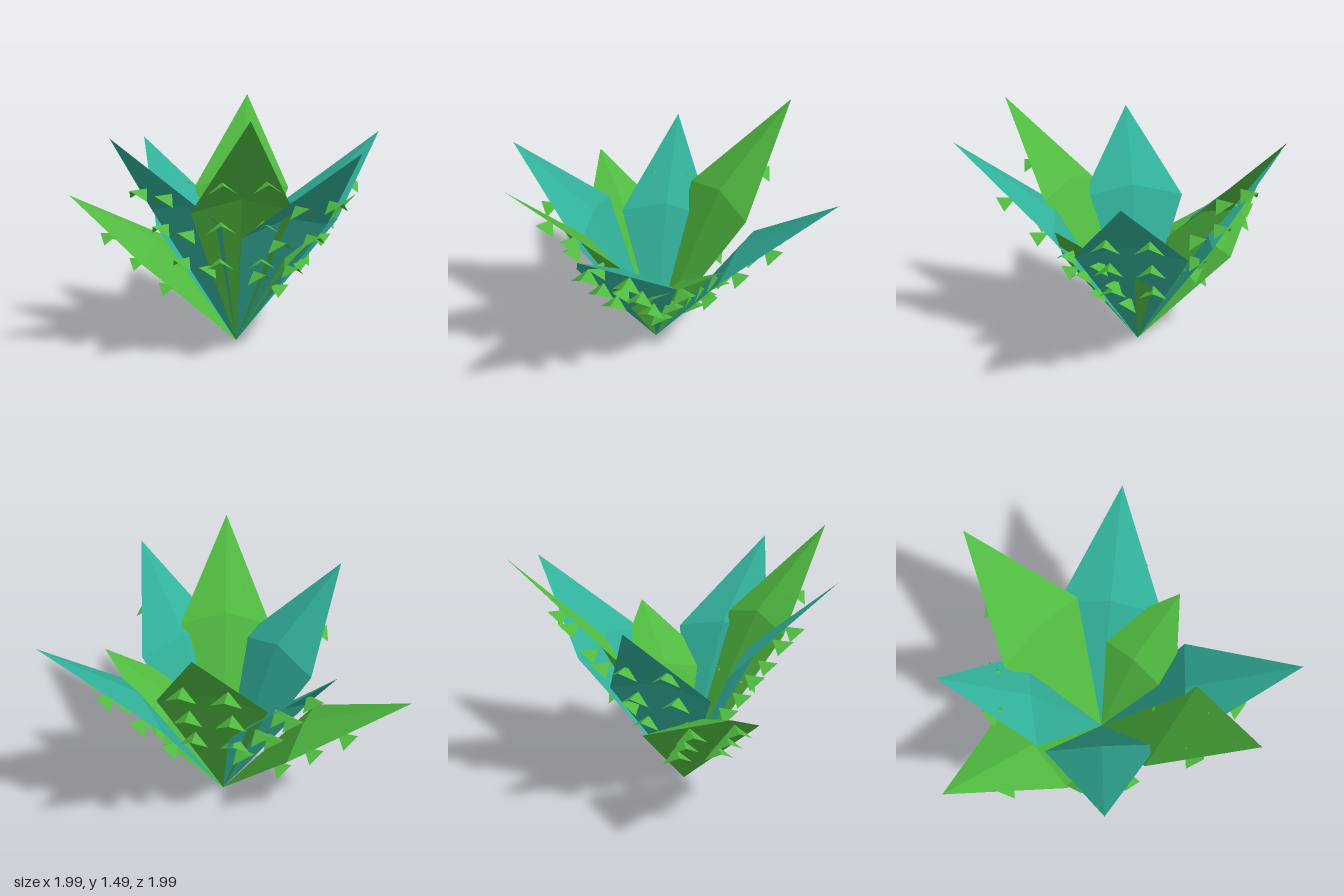
import * as THREE from 'three';

const flat = (name, color) => new THREE.MeshStandardMaterial({ name, color, flatShading: true, side: THREE.DoubleSide });

// Sheet made of triangles over a few named corner points
function sheet(points, faces, material, name) {
  const geo = new THREE.BufferGeometry();
  geo.setAttribute('position', new THREE.Float32BufferAttribute(faces.flatMap((i) => points[i]), 3));
  geo.computeVertexNormals();
  const mesh = new THREE.Mesh(geo, material);
  mesh.name = name;
  return mesh;
}

export function createModel() {
  const teal = flat('teal', 0x31b099);
  const green = flat('green', 0x50ba40);
  const model = new THREE.Group();
  model.name = 'spikyPlant';

  // Leaf: tip position, then shoulder distance, half width and height
  const leaves = [
    { mat: teal, tip: [-0.04, 1.31, 0.99], m: 0.51, w: 0.31, h: 0.80 },
    { mat: teal, tip: [0.99, 1.27, -0.14], m: 0.54, w: 0.325, h: 0.78 },
    { mat: teal, tip: [-1.0, 1.35, -0.03 + 0.01], m: 0.39, w: 0.33, h: 0.85 },
    { mat: teal, tip: [-0.34, 1.23, -1.0], m: 0.40, w: 0.30, h: 0.72 },
    { mat: green, tip: [-0.57, 1.48, 0.78], m: 0.51, w: 0.287, h: 0.93 },
    { mat: green, tip: [0.48, 0.95, 0.28], m: 0.31, w: 0.36, h: 0.57 },
    { mat: green, tip: [0.45, 1.49, -0.96], m: 0.466, w: 0.312, h: 0.91 },
    { mat: green, tip: [-0.91, 0.89, -0.92], m: 0.49, w: 0.33, h: 0.55 },
  ];
  leaves[2].tip[2] = 0.03;
  const root = [-0.13, 0, -0.14];

  for (const { mat, tip, m, w, h } of leaves) {
    const dx = tip[0] - root[0], dz = tip[2] - root[2];
    const reach = Math.hypot(dx, dz);

    // Local frame: x across the leaf, y up, z outward from the root
    const leaf = new THREE.Group();
    leaf.name = 'leaf';
    leaf.position.set(...root);
    leaf.rotation.y = Math.atan2(dx, dz);

    // Blade folded along a raised midrib
    const corners = [[0, 0, 0], [-w, h, m], [0, h + 0.075, m + 0.01], [w, h, m], [0, tip[1], reach]];
    leaf.add(sheet(corners, [0, 2, 1, 0, 3, 2, 1, 2, 4, 2, 3, 4], mat, 'blade'));

    // Three pairs of small roof-shaped thorns under the blade
    for (const t of [0.39, 0.56, 0.73]) {
      for (const side of [-1, 1]) {
        const thorn = sheet(
          [[0, 0.015, -0.06], [0, 0.015, 0.06], [-0.085, -0.045, 0], [0.085, -0.045, 0]],
          [0, 2, 1, 0, 1, 3], green, 'thorn');
        thorn.position.set(side * 0.12, tip[1] * (t + 0.02), reach * (t - 0.02));
        leaf.add(thorn);
      }
    }
    model.add(leaf);
  }
  return model;
}
